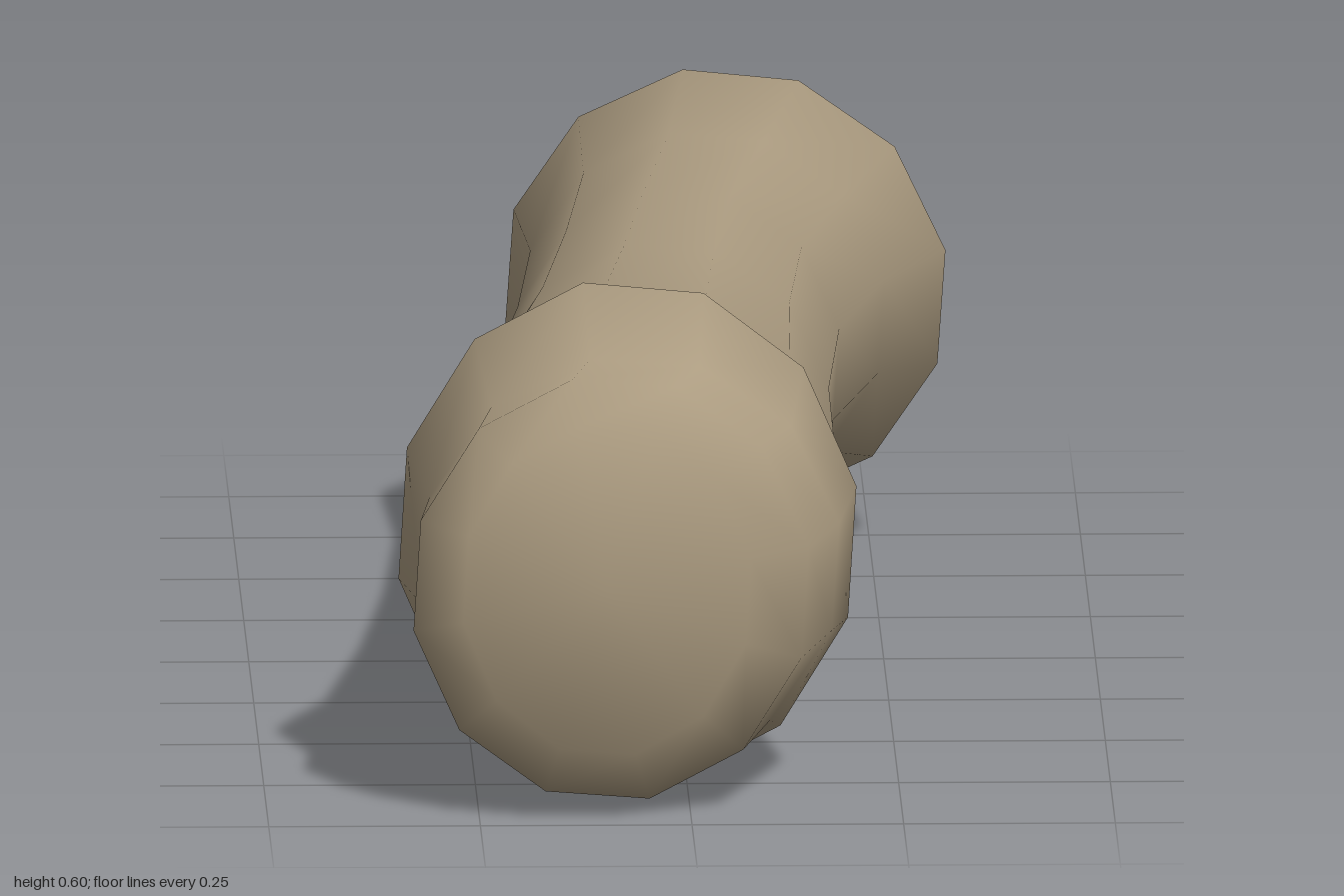
import * as THREE from 'three';

const SIDES = 12;
const PHASE = THREE.MathUtils.degToRad(11);

// Cross-sections from back to front: z, xMin, xMax, yMin, yMax, slant in z
const SECTIONS = [
  [-1.0, -0.05, 0.22, 0.15, 0.45, 0],
  [-0.975, -0.075, 0.27, 0.125, 0.475, 0],
  [-0.91, -0.105, 0.32, 0.095, 0.505, 0],
  [-0.81, -0.125, 0.32, 0.097, 0.515, 0],
  [-0.675, -0.18, 0.338, 0.055, 0.575, 0.04],
  [-0.42, -0.165, 0.26, 0.12, 0.55, 0.02],
  [-0.1, -0.187, 0.2, 0.13, 0.545, 0],
  [0.22, -0.225, 0.18, 0.115, 0.543, 0],
  [0.54, -0.28, 0.18, 0.07, 0.55, 0],
  [0.735, -0.34, 0.2, 0, 0.6, 0.02],
  [0.83, -0.315, 0.178, 0.035, 0.527, 0],
  [0.915, -0.327, 0.14, 0.015, 0.52, 0],
  [1.0, -0.27, 0.07, 0.085, 0.48, 0],
];

// Lofts twelve-sided rings into one closed, smoothly shaded skin
function loft(sections) {
  const angles = Array.from({ length: SIDES }, (_, i) => PHASE + (i / SIDES) * Math.PI * 2);
  const reach = Math.max(...angles.map(Math.cos));
  const positions = [];
  const index = [];

  for (const [z, x0, x1, y0, y1, slant] of sections) {
    for (const a of angles) {
      const c = Math.cos(a) / reach;
      const s = Math.sin(a) / reach;
      positions.push((x0 + x1) / 2 + (c * (x1 - x0)) / 2, (y0 + y1) / 2 + (s * (y1 - y0)) / 2, z + slant * c);
    }
  }
  for (let r = 0; r < sections.length - 1; r++) {
    for (let i = 0; i < SIDES; i++) {
      const j = (i + 1) % SIDES;
      const a = r * SIDES + i, b = r * SIDES + j;
      index.push(a, b, b + SIDES, a, b + SIDES, a + SIDES);
    }
  }

  // End caps fan out from a centre point
  const cap = (r, front) => {
    const [z, x0, x1, y0, y1] = sections[r];
    const centre = positions.length / 3;
    positions.push((x0 + x1) / 2, (y0 + y1) / 2, z);
    for (let i = 0; i < SIDES; i++) {
      const a = r * SIDES + i, b = r * SIDES + ((i + 1) % SIDES);
      if (front) index.push(centre, a, b);
      else index.push(centre, b, a);
    }
  };
  cap(0, false);
  cap(sections.length - 1, true);

  const geometry = new THREE.BufferGeometry();
  geometry.setAttribute('position', new THREE.Float32BufferAttribute(positions, 3));
  geometry.setIndex(index);
  geometry.computeVertexNormals();
  return geometry;
}

export function createModel() {
  const group = new THREE.Group();
  group.name = 'bone';

  const tan = new THREE.MeshStandardMaterial({ color: 0xab9b80 });
  tan.name = 'dull tan';

  // Shaft with swollen knuckles at both ends
  const shaft = new THREE.Mesh(loft(SECTIONS), tan);
  shaft.name = 'boneShaft';
  group.add(shaft);
  return group;
}
